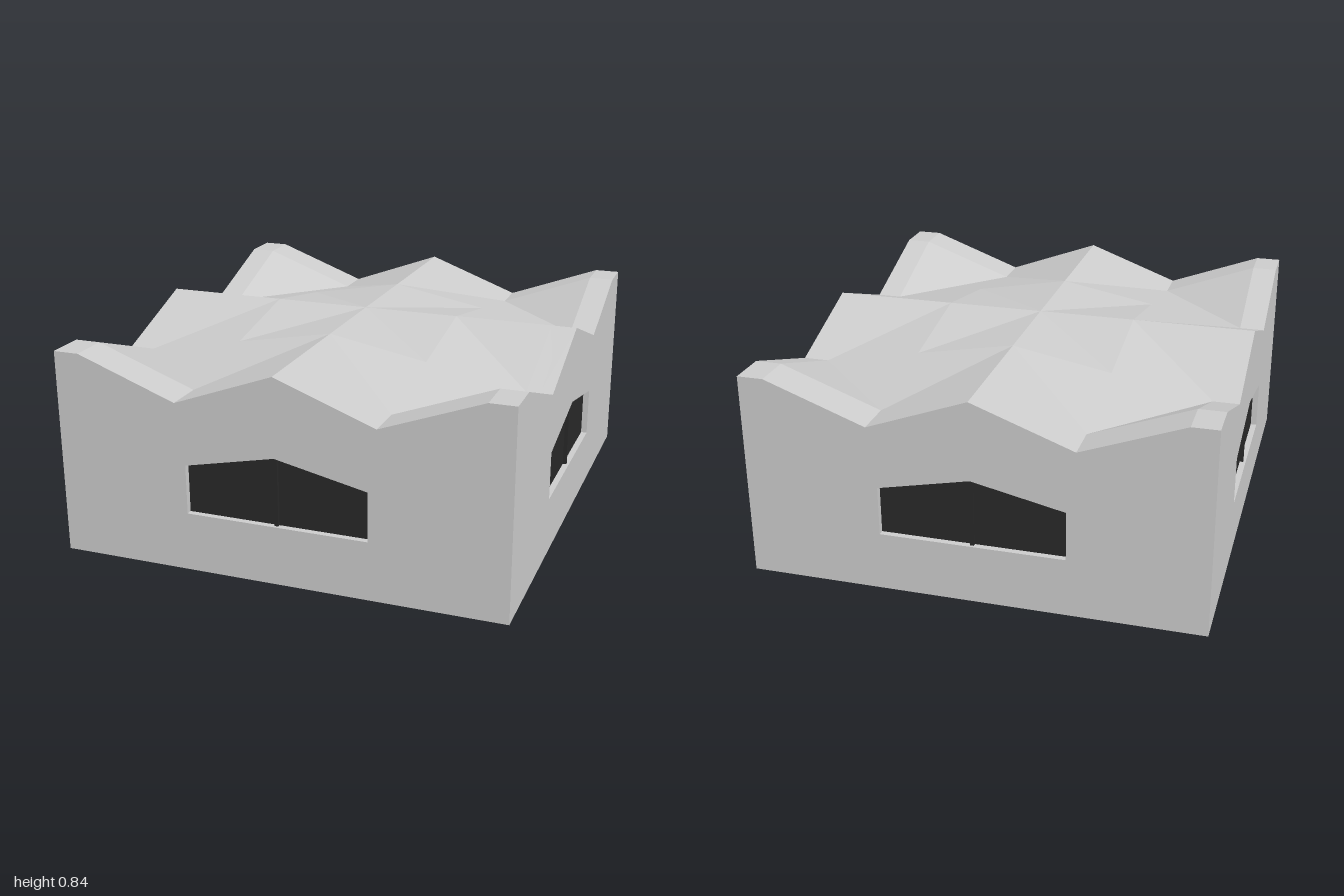
import * as THREE from 'three';

const HX = 0.915, HZ = 1, TOP = 0.84, WALL = 0.05;

const grey = new THREE.MeshStandardMaterial({ color: 0xcccccc, flatShading: true, side: THREE.DoubleSide });
const dark = new THREE.MeshStandardMaterial({ color: 0x282828, side: THREE.DoubleSide });
const black = new THREE.MeshStandardMaterial({ color: 0x111111 });

function addMesh(parent, name, geometry, material) {
  const mesh = new THREE.Mesh(geometry, material);
  mesh.name = name;
  parent.add(mesh);
  return mesh;
}

// Gabled window outline of half width w
function windowPoints(w) {
  return [[-w, 0.24], [w, 0.24], [w, 0.44], [0, 0.52], [-w, 0.44]].map(p => new THREE.Vector2(...p));
}

// Wall with a zigzag top edge and a recessed gabled window, facing +z
function makeWall(half, peak, windowHalf) {
  const wall = new THREE.Group();
  wall.name = 'wall';
  const v = peak / 2;
  const outline = [
    [-half, 0], [half, 0], [half, TOP], [peak, TOP], [v, 0.69],
    [0, TOP], [-v, 0.69], [-peak, TOP], [-half, TOP],
  ];
  const shape = new THREE.Shape(outline.map(p => new THREE.Vector2(...p)));
  shape.holes.push(new THREE.Path(windowPoints(windowHalf).reverse()));
  const body = addMesh(wall, 'wallPanel',
    new THREE.ExtrudeGeometry(shape, { depth: WALL, bevelEnabled: false }), grey);
  body.position.z = -WALL;
  const pane = addMesh(wall, 'windowPane',
    new THREE.ShapeGeometry(new THREE.Shape(windowPoints(windowHalf))), dark);
  pane.position.z = -0.025;
  const mullion = addMesh(wall, 'windowMullion', new THREE.BoxGeometry(0.015, 0.275, 0.015), dark);
  mullion.position.set(0, 0.378, -0.018);
  return wall;
}

// Folded roof: level ridges on both axes, valleys deepening towards the walls
function makeRoof() {
  const xs = [0, 0.405, 0.81, HX], zs = [0, 0.42, 0.84, HZ];
  const drop = [[0, 0, 0], [0, 0.075, 0.15], [0, 0.15, 0]];
  const pos = [];
  for (const sx of [-1, 1]) for (const sz of [-1, 1]) {
    const point = (i, j) => [sx * xs[i], TOP - drop[Math.min(i, 2)][Math.min(j, 2)], sz * zs[j]];
    const tri = (a, b, c) => {
      const order = sx * sz > 0 ? [a, b, c] : [a, c, b];
      order.forEach(p => pos.push(...p));
    };
    for (let i = 0; i < 3; i++) for (let j = 0; j < 3; j++) {
      const a = point(i, j), b = point(i, j + 1), c = point(i + 1, j + 1), d = point(i + 1, j);
      if (i === 1 && j === 1) {
        tri(a, b, d);
        tri(b, c, d);
      } else {
        tri(a, b, c);
        tri(a, c, d);
      }
    }
  }
  const geometry = new THREE.BufferGeometry();
  geometry.setAttribute('position', new THREE.Float32BufferAttribute(pos, 3));
  geometry.computeVertexNormals();
  return geometry;
}

export function createModel() {
  const model = new THREE.Group();
  model.name = 'foldedRoofBuilding';

  // Four walls, opposite ones alike
  const names = ['frontWall', 'leftWall', 'backWall', 'rightWall'];
  names.forEach((name, k) => {
    const side = k % 2 === 1;
    const wall = side ? makeWall(HZ, 0.84, 0.39) : makeWall(HX, 0.81, 0.37);
    wall.name = name;
    const angle = k * Math.PI / 2, dist = side ? HX : HZ;
    wall.rotation.y = angle;
    wall.position.set(Math.sin(angle) * dist, 0, Math.cos(angle) * dist);
    model.add(wall);
  });

  addMesh(model, 'roof', makeRoof(), grey);

  // Recessed underside: ledge plate with a dark floor panel
  const ledge = addMesh(model, 'floorLedge',
    new THREE.BoxGeometry(2 * (HX - WALL), 0.02, 2 * (HZ - WALL)), grey);
  ledge.position.y = 0.08;
  const floor = addMesh(model, 'floorPanel',
    new THREE.BoxGeometry(2 * (HX - 0.1), 0.02, 2 * (HZ - 0.1)), black);
  floor.position.y = 0.077;

  return model;
}
